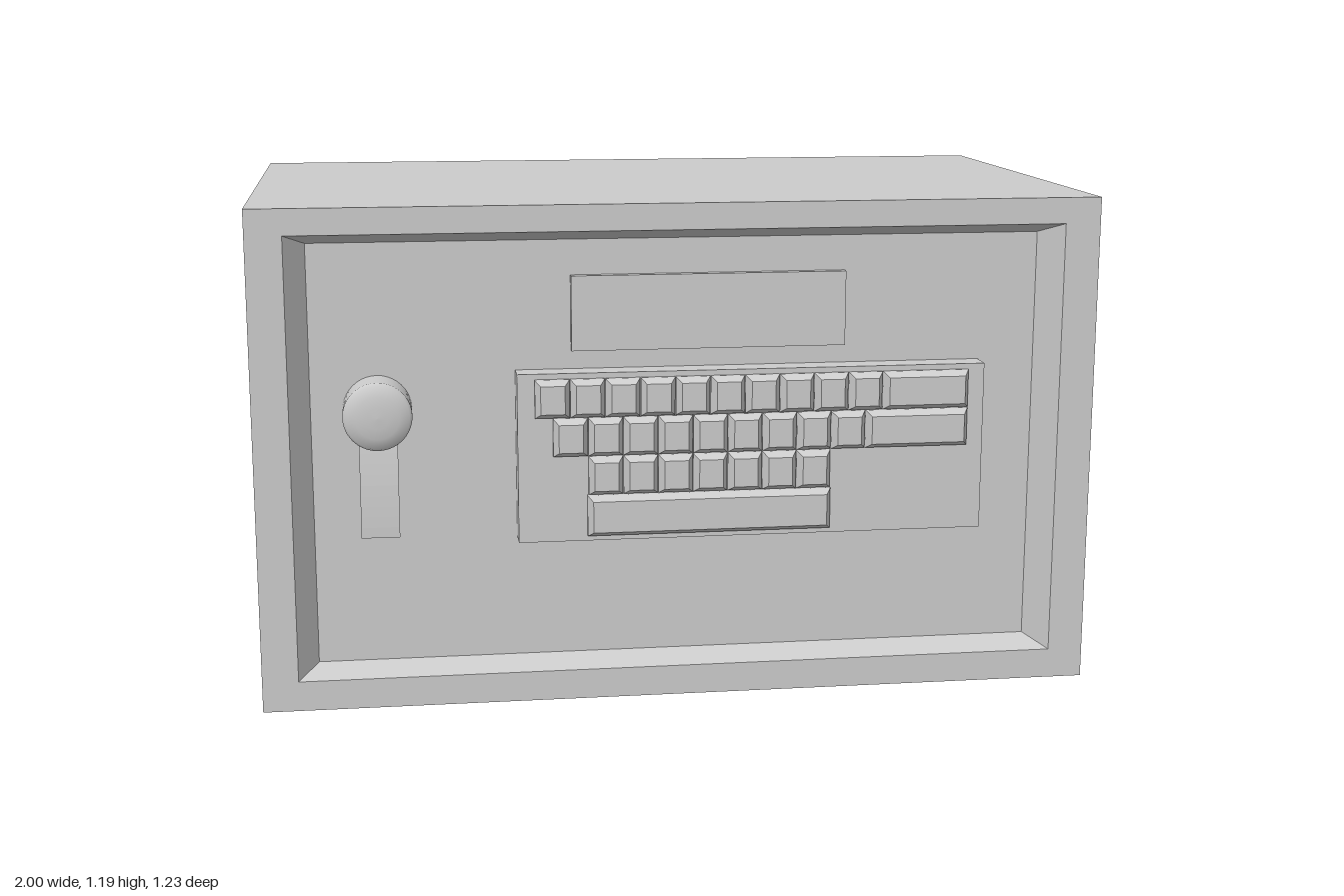
import * as THREE from 'three';

const grey = new THREE.MeshStandardMaterial({ color: 0xcccccc });
const DOOR_Z = 0.5, PANEL_Z = 0.56, KEY_Z = 0.588;

function add(parent, name, geometry) {
  const mesh = new THREE.Mesh(geometry, grey);
  mesh.name = name;
  parent.add(mesh);
  return mesh;
}

// Joins rectangles [x0, x1, y0, y1, z] into a flat-faced shell, back to front
function loft(rects, frontCap = true) {
  const pos = [];
  const rings = rects.map(([x0, x1, y0, y1, z]) => [[x0, y0, z], [x1, y0, z], [x1, y1, z], [x0, y1, z]]);
  const quad = (a, b, c, d) => pos.push(...a, ...b, ...c, ...a, ...c, ...d);
  for (let k = 0; k < rings.length - 1; k++) {
    const r = rings[k], s = rings[k + 1];
    for (let i = 0; i < 4; i++) {
      const j = (i + 1) % 4;
      quad(r[i], r[j], s[j], s[i]);
    }
  }
  const [a, b, c, d] = rings[0];
  quad(d, c, b, a);
  if (frontCap) quad(...rings[rings.length - 1]);
  const g = new THREE.BufferGeometry();
  g.setAttribute('position', new THREE.Float32BufferAttribute(pos, 3));
  g.computeVertexNormals();
  return g;
}

const slab = (x0, x1, y0, y1, z0, z1) => loft([[x0, x1, y0, y1, z0], [x0, x1, y0, y1, z1]]);

// Key with sloping sides
function key(parent, name, x0, x1, y0, y1) {
  const t = 0.013, g = 0.001;
  add(parent, name, loft([
    [x0 + g, x1 - g, y0 + g, y1 - g, PANEL_Z - 0.005],
    [x0 + g, x1 - g, y0 + g, y1 - g, PANEL_Z + 0.008],
    [x0 + t, x1 - t, y0 + t, y1 - t, KEY_Z],
  ]));
}

function createKeyboard() {
  const keyboard = new THREE.Group();
  keyboard.name = 'keyboard';
  add(keyboard, 'keyboardPanel', slab(-0.39, 0.73, 0.39, 0.795, DOOR_Z - 0.01, PANEL_Z));
  const pitch = 0.083;
  // Each row: left edge, bottom, top, number of small keys, right edge of the wide key
  const rows = [
    [-0.35, 0.69, 0.783, 10, 0.69],
    [-0.308, 0.597, 0.69, 9, 0.69],
    [-0.225, 0.503, 0.597, 7, null],
  ];
  for (const [x, y0, y1, count, wideEnd] of rows) {
    for (let i = 0; i < count; i++) key(keyboard, 'key', x + i * pitch, x + (i + 1) * pitch, y0, y1);
    if (wideEnd !== null) key(keyboard, 'wideKey', x + count * pitch, wideEnd, y0, y1);
  }
  key(keyboard, 'spaceBar', -0.228, 0.358, 0.402, 0.503);
  return keyboard;
}

function createHandle() {
  const handle = new THREE.Group();
  handle.name = 'handle';
  handle.position.set(-0.713, 0.71, 0);

  // Round hub with a slightly domed face
  const profile = [[0.08, DOOR_Z - 0.01], [0.08, 0.59], [0.08, 0.59], [0.074, 0.601], [0.05, 0.609], [0.025, 0.612], [0, 0.613]]
    .map(([r, z]) => new THREE.Vector2(r, z));
  add(handle, 'handleHub', new THREE.LatheGeometry(profile, 40).rotateX(Math.PI / 2));

  // Grip: bar with a convex front, bowed outwards towards its lower end
  const w = 0.045, length = 0.3;
  const section = new THREE.Shape();
  section.moveTo(-w, 0);
  section.lineTo(w, 0);
  section.lineTo(w, -0.062);
  section.quadraticCurveTo(0, -0.084, -w, -0.062);
  section.closePath();
  const grip = new THREE.ExtrudeGeometry(section, { depth: length, steps: 12, bevelEnabled: false, curveSegments: 10 });
  grip.rotateX(Math.PI / 2); // extrusion runs down, section front faces +z
  const p = grip.attributes.position;
  for (let i = 0; i < p.count; i++) {
    const t = -p.getY(i) / length;
    p.setZ(i, p.getZ(i) + 0.545 - 0.035 * (1 - t) ** 2);
  }
  grip.computeVertexNormals();
  // Section depth was drawn downwards, so it already points to the front
  add(handle, 'handleGrip', grip);
  return handle;
}

export function createModel() {
  const model = new THREE.Group();
  model.name = 'safe';

  // Cabinet with a recessed front and sloping recess walls
  add(model, 'cabinet', loft([
    [-1, 1, 0, 1.19, -0.62],
    [-1, 1, 0, 1.19, 0.57],
    [-0.915, 0.915, 0.072, 1.128, 0.57],
    [-0.868, 0.868, 0.096, 1.102, DOOR_Z],
  ], false));
  add(model, 'door', slab(-0.868, 0.868, 0.096, 1.102, DOOR_Z - 0.05, DOOR_Z));

  add(model, 'display', slab(-0.258, 0.397, 0.84, 1.018, DOOR_Z - 0.01, DOOR_Z + 0.02));
  model.add(createKeyboard(), createHandle());
  return model;
}
